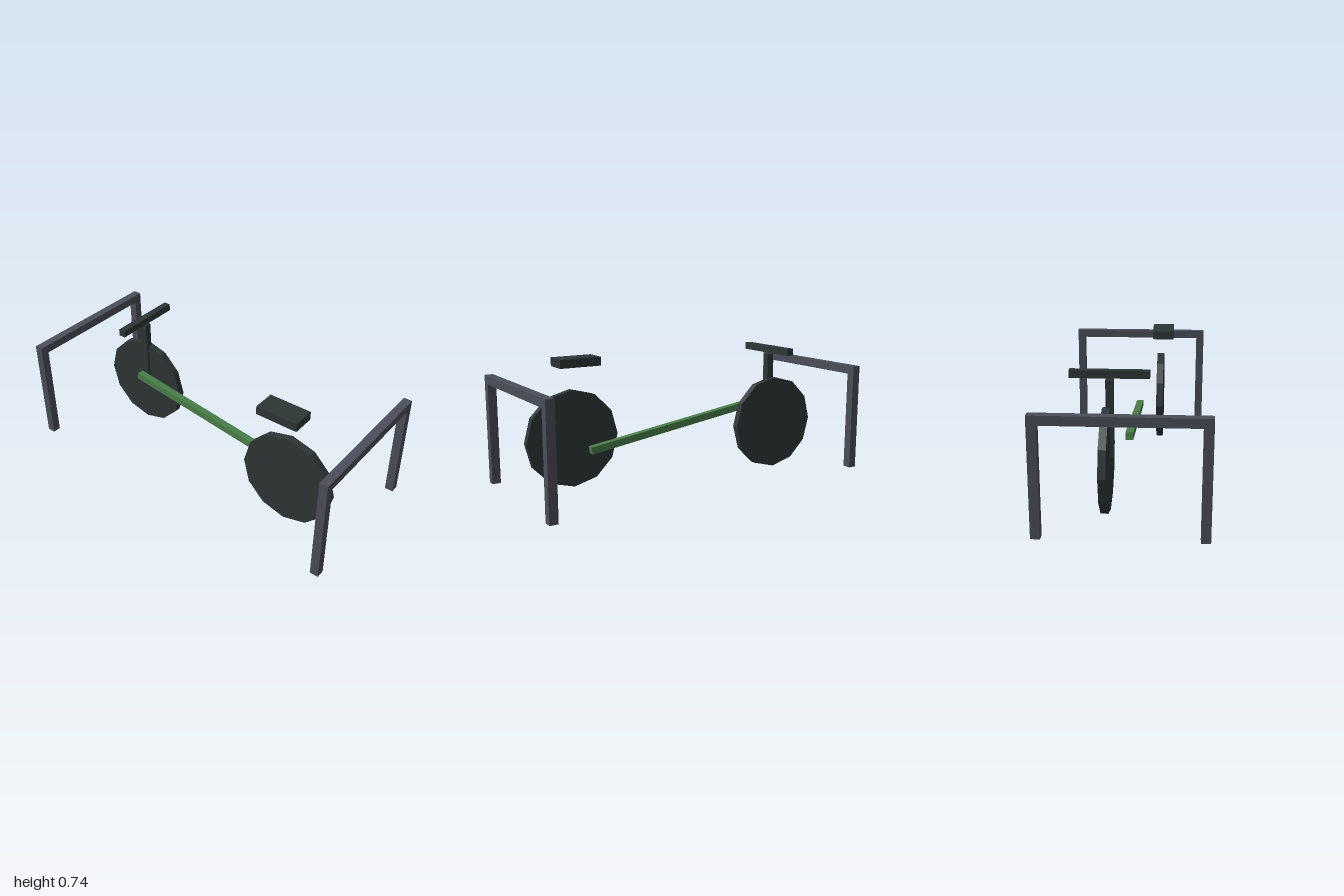
import * as THREE from 'three';

export function createModel() {
  const group = new THREE.Group();
  const material = (name, color) => {
    const m = new THREE.MeshStandardMaterial({ color, flatShading: true });
    m.name = name;
    return m;
  };
  const rackGrey = material('rack grey', 0x4b4e59);
  const frameGreen = material('frame green', 0x4a7f49);
  const darkRubber = material('dark rubber', 0x2e3636);

  const add = (parent, name, geometry, mat, x, y, z) => {
    const mesh = new THREE.Mesh(geometry, mat);
    mesh.name = name;
    mesh.position.set(x, y, z);
    parent.add(mesh);
    return mesh;
  };
  const box = (parent, name, mat, w, h, d, x, y, z) =>
    add(parent, name, new THREE.BoxGeometry(w, h, d), mat, x, y, z);

  // Rack hoops at both ends: two posts and a top rail
  for (const [end, z] of [['front', 0.976], ['back', -0.976]]) {
    const hoop = new THREE.Group();
    hoop.name = end + 'Hoop';
    hoop.position.z = z;
    group.add(hoop);
    box(hoop, 'topRail', rackGrey, 0.86, 0.048, 0.048, 0, 0.607, 0);
    for (const [side, s] of [['left', 1], ['right', -1]])
      box(hoop, side + 'Post', rackGrey, 0.048, 0.57, 0.048, s * 0.406, 0.298, 0);
  }

  // Twelve-sided disc wheels
  for (const [name, x, z] of [['frontWheel', -0.147, 0.611], ['backWheel', 0.097, -0.611]]) {
    const disc = new THREE.CylinderGeometry(0.276, 0.276, 0.04, 12).rotateZ(Math.PI / 2);
    add(group, name, disc, darkRubber, x, 0.278, z);
  }

  // Sloping frame bar
  const bar = box(group, 'frameBar', frameGreen, 0.04, 0.04, 1.137, -0.017, 0.31, -0.003);
  bar.rotation.x = 0.142;

  // Seat, steering stem and handlebar
  box(group, 'seat', darkRubber, 0.129, 0.049, 0.245, -0.164, 0.705, 0.567);
  box(group, 'stem', darkRubber, 0.04, 0.405, 0.04, 0.08, 0.493, -0.587);
  box(group, 'handlebar', darkRubber, 0.405, 0.04, 0.04, 0.08, 0.725, -0.587);

  return group;
}
